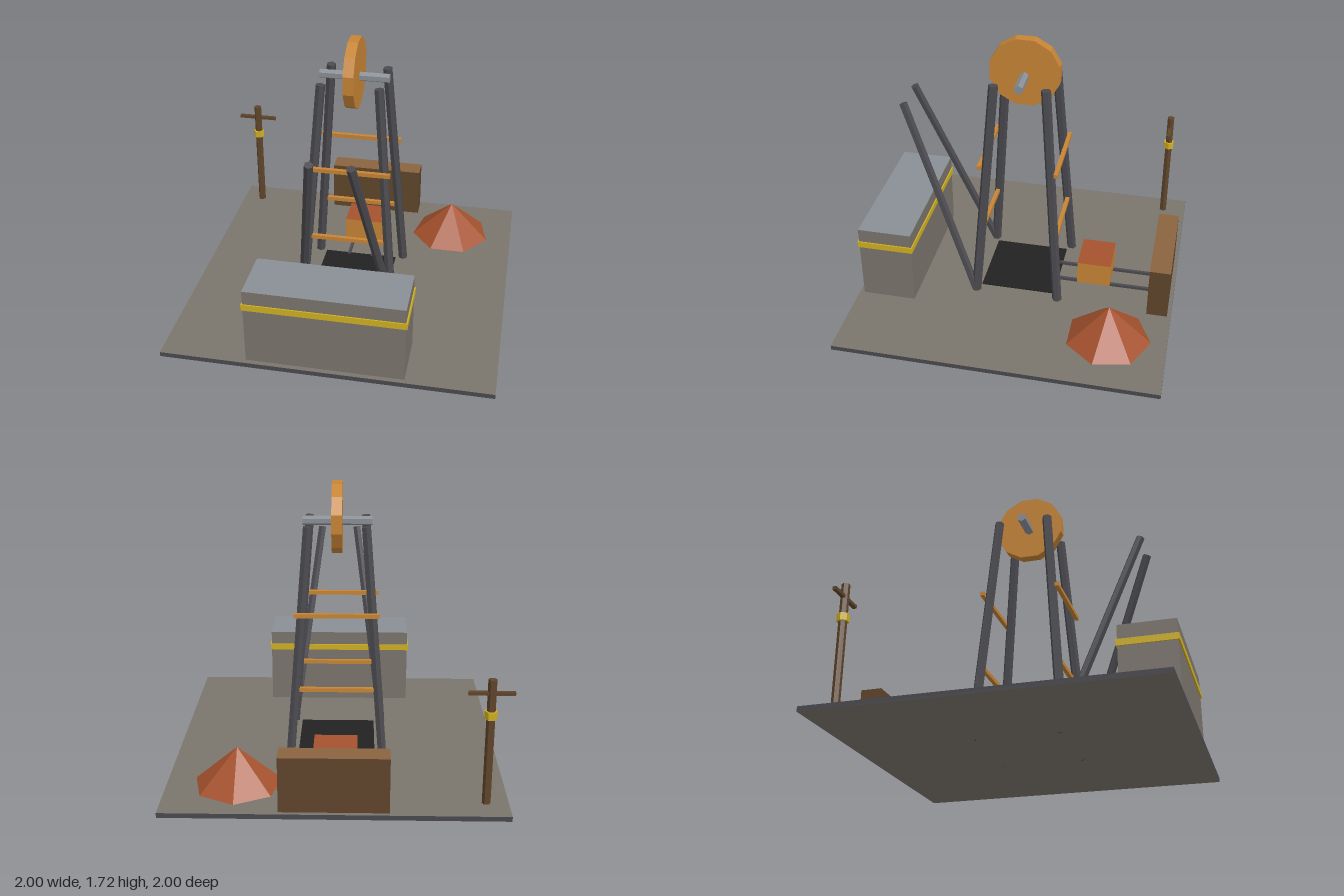
import * as THREE from 'three';

export function createModel() {
  const model = new THREE.Group();
  model.name = 'mineHeadframe';

  const mat = (name, color) => {
    const m = new THREE.MeshStandardMaterial({ color });
    m.name = name;
    return m;
  };
  const concrete = mat('concrete', 0x7a746c);
  const darkSteel = mat('darkSteel', 0x4a4a4f);
  const lightSteel = mat('lightSteel', 0x8a8f96);
  const ochre = mat('ochre', 0xc68434);
  const rust = mat('rustOre', 0xa5522e);
  const black = mat('pitBlack', 0x222222);
  const brown = mat('darkWood', 0x5f452b);
  const wood = mat('lightWood', 0x8a6340);
  const yellow = mat('yellow', 0xcfb022);

  const add = (name, geometry, material, x = 0, y = 0, z = 0) => {
    const mesh = new THREE.Mesh(geometry, material);
    mesh.name = name;
    mesh.position.set(x, y, z);
    model.add(mesh);
    return mesh;
  };
  // box given by its limits on each axis; material may be one per face
  const box = (name, material, [x0, x1], [y0, y1], [z0, z1]) =>
    add(name, new THREE.BoxGeometry(x1 - x0, y1 - y0, z1 - z0), material,
      (x0 + x1) / 2, (y0 + y1) / 2, (z0 + z1) / 2);
  // faceted prism, with a corner turned by the given angle
  const prism = (r, h, sides, turn = 0) => {
    const g = new THREE.CylinderGeometry(r, r, h, sides).toNonIndexed();
    g.rotateY(turn);
    g.computeVertexNormals();
    return g;
  };
  // hexagonal beam between two points
  const beam = (name, r, from, to) => {
    const a = new THREE.Vector3(...from);
    const b = new THREE.Vector3(...to);
    const dir = b.clone().sub(a);
    const mesh = add(name, prism(r, dir.length(), 6), darkSteel);
    mesh.position.copy(a).add(b).multiplyScalar(0.5);
    mesh.quaternion.setFromUnitVectors(new THREE.Vector3(0, 1, 0), dir.normalize());
  };

  // ground slab and shaft opening
  box('groundSlab', [darkSteel, darkSteel, concrete, concrete, darkSteel, darkSteel],
    [-1, 1], [0, 0.03], [-1, 1]);
  box('shaftOpening', black, [-0.24, 0.24], [0.028, 0.036], [-0.24, 0.24]);

  // tower legs, front braces and cross bars
  for (const sx of [-1, 1]) {
    for (const sz of [-1, 1]) {
      beam('towerLeg', 0.03, [sx * 0.29, 0.002, sz * 0.268], [sx * 0.175, 1.477, sz * 0.157]);
    }
    beam('backstayBrace', 0.027, [sx * 0.29, 0.03, 0.268], [sx * 0.118, 1.262, 0.738]);
  }
  for (const z of [-0.237, 0.237]) {
    for (const y of [0.465, 0.947]) {
      box('crossBar', ochre, [-0.26, 0.26], [y - 0.0125, y + 0.0125], [z - 0.0125, z + 0.0125]);
    }
  }

  // winding wheel on its axle
  const wheel = prism(0.22, 0.064, 12, Math.PI / 12);
  wheel.rotateZ(Math.PI / 2);
  add('windingWheel', wheel, ochre, 0, 1.503, 0);
  const axle = prism(0.029, 0.425, 6, Math.PI / 2);
  axle.rotateZ(Math.PI / 2);
  add('wheelAxle', axle, lightSteel, 0, 1.48, 0);

  // engine house with a pale roof and a yellow band
  box('engineHouse', [concrete, concrete, lightSteel, concrete, concrete, concrete],
    [-0.475, 0.475], [0.03, 0.528], [0.632, 0.97]);
  box('houseBand', yellow, [-0.483, 0.483], [0.4, 0.44], [0.624, 0.978]);

  // track, ore cart and timber block at its end
  for (const x of [-0.08, 0.08]) {
    box('trackRail', darkSteel, [x - 0.009, x + 0.009], [0.03, 0.048], [-0.9, -0.22]);
  }
  box('oreCart', [ochre, ochre, rust, ochre, ochre, ochre],
    [-0.132, 0.132], [0.064, 0.22], [-0.585, -0.37]);
  box('timberBlock', [brown, brown, wood, brown, brown, brown],
    [-0.315, 0.315], [0.03, 0.368], [-0.975, -0.845]);

  // seven-sided ore heap
  const heap = new THREE.ConeGeometry(0.265, 0.235, 7).toNonIndexed();
  heap.rotateY(Math.PI);
  heap.computeVertexNormals();
  add('oreHeap', heap, rust, 0.577, 0.1475, -0.635);

  // signal post with cross arm and yellow collar
  add('signalPost', prism(0.025, 0.765, 6, Math.PI / 2), brown, -0.87, 0.4125, -0.845);
  box('signalArm', brown, [-1, -0.74], [0.702, 0.722], [-0.857, -0.833]);
  add('signalCollar', prism(0.037, 0.046, 6, Math.PI / 2), yellow, -0.87, 0.583, -0.845);

  return model;
}
